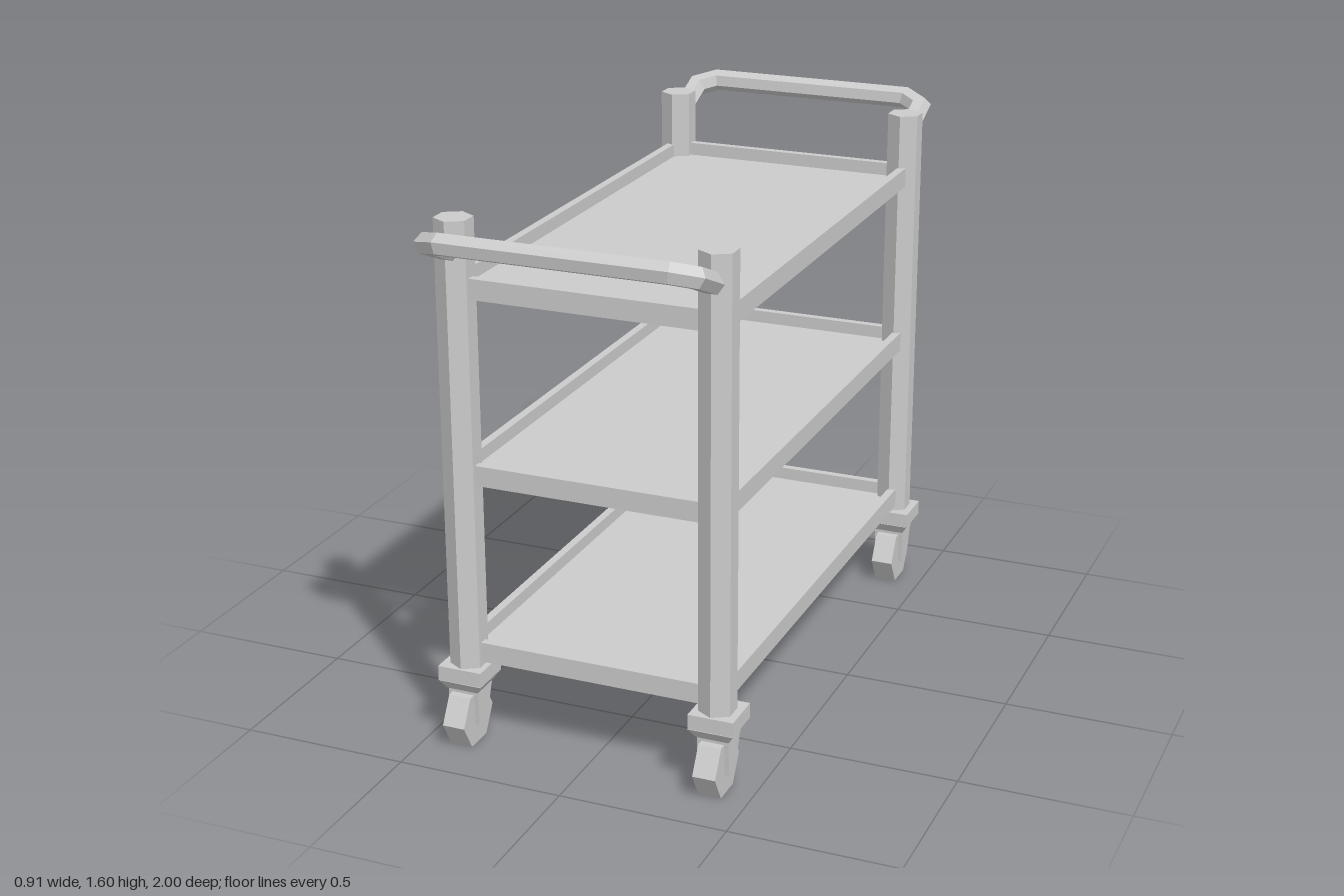
import * as THREE from 'three';

const mat = new THREE.MeshStandardMaterial({ color: 0xcccccc, flatShading: true });
const POST_X = 0.385, POST_Z = 0.78;

function add(parent, name, geo, x = 0, y = 0, z = 0) {
  const m = new THREE.Mesh(geo, mat);
  m.name = name;
  m.position.set(x, y, z);
  parent.add(m);
  return m;
}

function rect(path, hx, hz) {
  path.moveTo(-hx, -hz);
  path.lineTo(hx, -hz);
  path.lineTo(hx, hz);
  path.lineTo(-hx, hz);
  path.closePath();
  return path;
}

// Shallow tray: thin raised rim around a floor panel
function makeShelf(name, y) {
  const g = new THREE.Group();
  g.name = name;
  const s = rect(new THREE.Shape(), 0.405, 0.795);
  s.holes.push(rect(new THREE.Path(), 0.38, 0.77));
  const rim = new THREE.ExtrudeGeometry(s, { depth: 0.06, bevelEnabled: false });
  rim.rotateX(-Math.PI / 2);
  add(g, 'shelfRim', rim);
  add(g, 'shelfFloor', new THREE.BoxGeometry(0.77, 0.02, 1.55), 0, 0.0105, 0);
  g.position.y = y;
  return g;
}

// Hexagonal bar swept with mitred corners along a path of [x, z] points
function hexBar(path, R) {
  const dirs = path.slice(1).map((p, i) =>
    new THREE.Vector2(p[0] - path[i][0], p[1] - path[i][1]).normalize());
  const rings = path.map((p, i) => {
    const a = dirs[Math.max(i - 1, 0)], b = dirs[Math.min(i, dirs.length - 1)];
    const k = 1 / (1 + a.dot(b));
    const nx = (a.y + b.y) * k, nz = -(a.x + b.x) * k;
    return Array.from({ length: 6 }, (_, j) => {
      const t = (j * Math.PI) / 3, c = R * Math.cos(t);
      return [p[0] + nx * c, R * Math.sin(t), p[1] + nz * c];
    });
  });
  const pos = [];
  for (let i = 0; i < rings.length - 1; i++) {
    for (let j = 0; j < 6; j++) {
      const n = (j + 1) % 6;
      const a = rings[i][j], b = rings[i][n], c = rings[i + 1][n], d = rings[i + 1][j];
      pos.push(...a, ...b, ...c, ...a, ...c, ...d);
    }
  }
  const geo = new THREE.BufferGeometry();
  geo.setAttribute('position', new THREE.Float32BufferAttribute(pos, 3));
  geo.computeVertexNormals();
  return geo;
}

// Push handle rising outwards from the posts
function makeHandle(name, y, turn) {
  const g = new THREE.Group();
  g.name = name;
  const path = [[-0.383, 0], [-0.383, 0.166], [-0.325, 0.206],
    [0.325, 0.206], [0.383, 0.166], [0.383, 0]];
  const bar = add(g, 'handleBar', hexBar(path, 0.033), 0, y, POST_Z);
  bar.rotation.x = -0.4;
  g.rotation.y = turn;
  return g;
}

// Swivel caster: mounting block, taper, fork and six-sided wheel
function makeCaster() {
  const g = new THREE.Group();
  g.name = 'caster';
  add(g, 'casterMount', new THREE.BoxGeometry(0.135, 0.045, 0.13), 0, 0.2175, 0);
  const taper = new THREE.CylinderGeometry(0.135 * Math.SQRT1_2, 0.096 * Math.SQRT1_2, 0.03, 4);
  taper.rotateY(Math.PI / 4);
  add(g, 'casterTaper', taper, 0, 0.181, 0);
  add(g, 'forkCrown', new THREE.BoxGeometry(0.094, 0.014, 0.09), 0, 0.163, 0);

  // Fork arms drawn in side profile (z, y), leaning towards the axle
  const side = new THREE.Shape([[-0.045, 0.17], [-0.01, 0.06], [0.04, 0.06], [0.045, 0.17]]
    .map(([z, y]) => new THREE.Vector2(-z, y)));
  const arm = new THREE.ExtrudeGeometry(side, { depth: 0.014, bevelEnabled: false });
  arm.rotateY(Math.PI / 2);
  for (const x of [-0.047, 0.033]) add(g, 'forkArm', arm, x, 0, 0);

  const wheel = new THREE.CylinderGeometry(0.09, 0.09, 0.068, 6);
  wheel.rotateZ(Math.PI / 2);
  add(g, 'wheel', wheel, 0, 0.078, 0.022);
  return g;
}

export function createModel() {
  const cart = new THREE.Group();
  cart.name = 'serviceCart';

  // Corner posts and casters
  const postGeo = new THREE.CylinderGeometry(0.055, 0.055, 1.34, 6);
  for (const sx of [-1, 1]) {
    for (const sz of [-1, 1]) {
      add(cart, 'post', postGeo, sx * POST_X, 0.9, sz * POST_Z);
      const caster = makeCaster();
      caster.position.set(sx * 0.387, 0, sz * 0.776);
      cart.add(caster);
    }
  }

  cart.add(makeShelf('bottomShelf', 0.255));
  cart.add(makeShelf('middleShelf', 0.8));
  cart.add(makeShelf('topShelf', 1.345));

  cart.add(makeHandle('frontHandle', 1.472, 0));
  cart.add(makeHandle('backHandle', 1.492, Math.PI));
  return cart;
}
